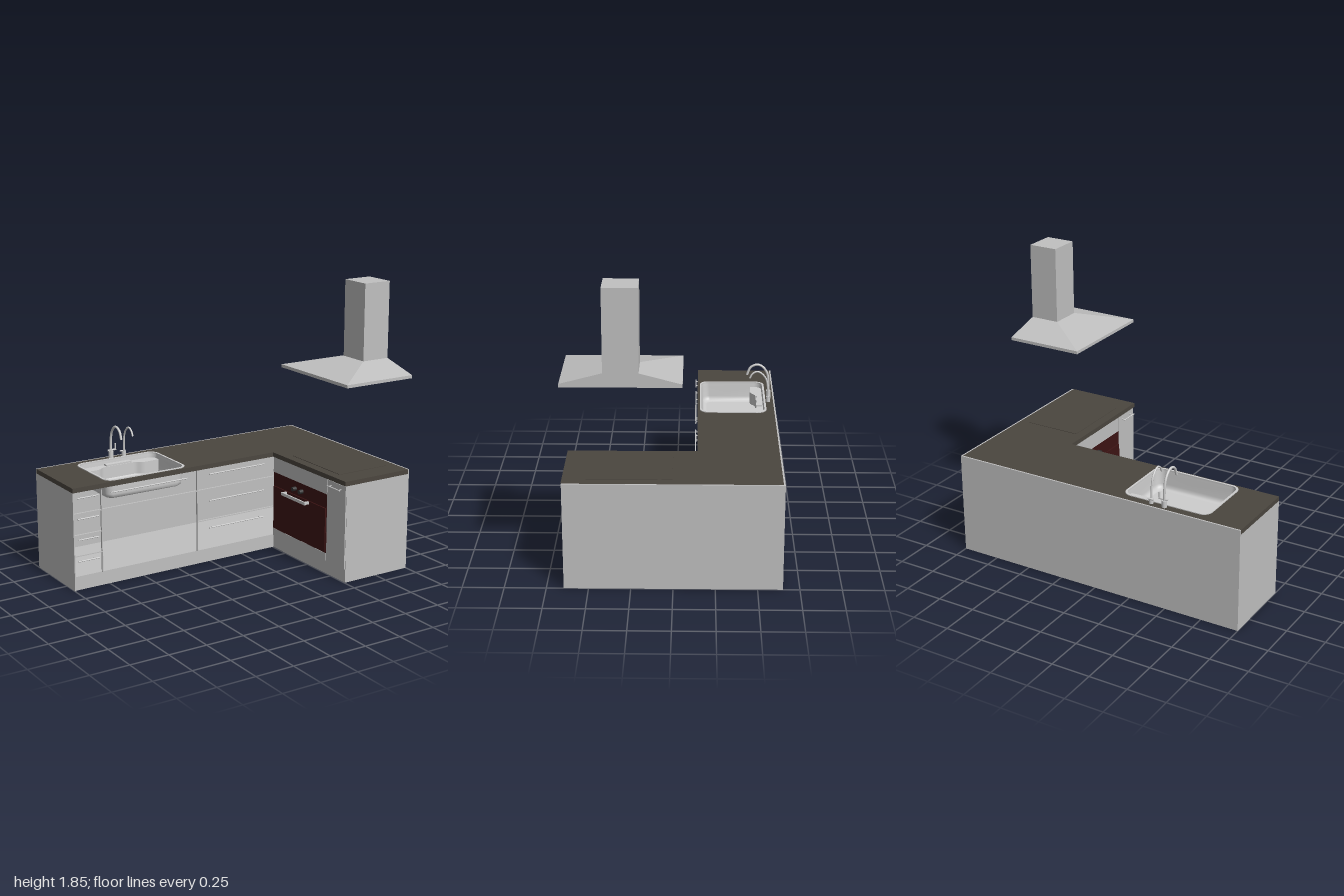
import * as THREE from 'three';
import { ConvexGeometry } from 'three/addons/geometries/ConvexGeometry.js';

const mat = (name, color, side = THREE.FrontSide) => {
  const m = new THREE.MeshStandardMaterial({ color, side });
  m.name = name;
  return m;
};

export function createModel() {
  const model = new THREE.Group();
  model.name = 'kitchen';
  const grey = mat('cabinet grey', 0xc0c0c0);
  const dark = mat('dark worktop', 0x4b463f);
  const steel = mat('steel', 0xcdcdcd, THREE.DoubleSide);
  const glass = mat('oven dark red', 0x3d1414);
  const black = mat('knob black', 0x333333);

  const add = (name, geo, material, parent = model) => {
    const m = new THREE.Mesh(geo, material);
    m.name = name;
    parent.add(m);
    return m;
  };
  // box given by its limits
  const box = (name, x0, x1, y0, y1, z0, z1, material = grey, parent = model) => {
    const g = new THREE.BoxGeometry(x1 - x0, y1 - y0, z1 - z0);
    g.translate((x0 + x1) / 2, (y0 + y1) / 2, (z0 + z1) / 2);
    return add(name, g, material, parent);
  };
  const cyl = (name, r, h, x, y, z, material = steel, axis = 'y') => {
    const g = new THREE.CylinderGeometry(r, r, h, 20);
    if (axis === 'x') g.rotateZ(Math.PI / 2);
    if (axis === 'z') g.rotateX(Math.PI / 2);
    g.translate(x, y, z);
    return add(name, g, material);
  };
  // plan outlines use (x, z); slabs rise from y0 to y1
  const plan = (pts) => new THREE.Shape(pts.map(([x, z]) => new THREE.Vector2(x, -z)));
  const slab = (name, shape, y0, y1, material) => {
    const g = new THREE.ExtrudeGeometry(shape, { depth: y1 - y0, bevelEnabled: false, curveSegments: 16 });
    g.rotateX(-Math.PI / 2);
    g.translate(0, y0, 0);
    return add(name, g, material);
  };
  const lShape = (x0, x1, z0, z1, xi, zi) =>
    plan([[x0, z0], [x1, z0], [x1, z1], [xi, z1], [xi, zi], [x0, zi]]);

  // sink outline, shrunk by an inset
  const SX = -0.46, SZ = -0.372, HX = 0.295, HZ = 0.218;
  const sinkRing = (inset, r, n = 8) => {
    const pts = [];
    const hx = HX - inset, hz = HZ - inset;
    [[1, 1], [-1, 1], [-1, -1], [1, -1]].forEach(([sx, sz], q) => {
      for (let i = 0; i <= n; i++) {
        const a = (q + i / n) * Math.PI / 2;
        pts.push([SX + sx * (hx - r) + r * Math.cos(a), SZ + sz * (hz - r) + r * Math.sin(a)]);
      }
    });
    return pts;
  };

  // carcass: floor, back, outer walls and end panel
  slab('plinth', lShape(-1, 1, -0.645, 0.64, 0.505, -0.15), 0, 0.09, grey);
  box('backPanel', -1, 1, 0, 0.67, -0.65, -0.64);
  box('sidePanel', 0.99, 1, 0, 0.67, -0.64, 0.647);
  box('endPanel', 0.505, 0.99, 0, 0.64, 0.637, 0.647);
  box('outerEndPanel', -1, -0.993, 0, 0.64, -0.64, -0.14);

  // worktop with sink cut-out
  const top = lShape(-1, 0.99, -0.64, 0.65, 0.49, -0.14);
  const cut = () => new THREE.Path(sinkRing(0.008, 0.052).map(([x, z]) => new THREE.Vector2(x, -z)));
  top.holes.push(cut());
  slab('worktop', top, 0.64, 0.67, dark);
  box('cooktop', 0.55, 0.925, 0.669, 0.673, 0.005, 0.51, dark);

  // thin frames of the open drawer run
  [-0.8, -0.1].forEach((x) => box('frameUpright', x - 0.003, x + 0.003, 0.09, 0.64, -0.155, -0.142));
  [[-0.993, -0.8, [0.5, 0.36, 0.225]], [-0.8, -0.1, [0.5]], [-0.1, 0.5, [0.5, 0.29]]].forEach(([a, b, ys]) =>
    ys.forEach((y) => box('frameRail', a, b, y - 0.003, y + 0.003, -0.155, -0.142)));

  // drawer handles: a bar on two posts
  const handle = (a, b, y) => {
    cyl('handleBar', 0.004, b - a, (a + b) / 2, y, -0.128, steel, 'x');
    [a + 0.03, b - 0.03].forEach((x) => cyl('handlePost', 0.003, 0.02, x, y, -0.139, steel, 'z'));
  };
  [0.605, 0.47, 0.335, 0.195].forEach((y) => handle(-0.975, -0.83, y));
  handle(-0.74, -0.185, 0.605);
  [0.605, 0.425, 0.24].forEach((y) => handle(-0.02, 0.41, y));

  // wing front facing -x: panels, door and oven
  box('ovenTopPanel', 0.496, 0.506, 0.535, 0.64, -0.14, 0.45);
  box('ovenBottomPanel', 0.496, 0.506, 0.09, 0.14, -0.14, 0.45);
  box('wingDoor', 0.496, 0.506, 0.09, 0.635, 0.455, 0.645);
  box('ovenFront', 0.498, 0.506, 0.14, 0.535, -0.14, 0.45, glass);
  box('ovenDoor', 0.489, 0.498, 0.145, 0.44, -0.13, 0.445, glass);
  box('ovenHandle', 0.45, 0.46, 0.42, 0.44, 0.01, 0.275, steel);
  [0.02, 0.265].forEach((z) => box('ovenHandlePost', 0.455, 0.498, 0.422, 0.438, z - 0.008, z + 0.008, steel));
  [0.11, 0.185].forEach((z) => cyl('ovenKnob', 0.014, 0.03, 0.484, 0.483, z, black, 'x'));
  cyl('doorHandleBar', 0.004, 0.13, 0.472, 0.605, 0.55, steel, 'z');
  [0.5, 0.6].forEach((z) => cyl('doorHandlePost', 0.003, 0.025, 0.485, 0.605, z, steel, 'x'));

  // sink: rim, lofted bowl, floor, back ledge and drain
  const rim = plan(sinkRing(0, 0.06));
  rim.holes.push(new THREE.Path(sinkRing(0.013, 0.05).map(([x, z]) => new THREE.Vector2(x, -z))));
  slab('sinkRim', rim, 0.665, 0.675, steel);
  const rings = [[0.67, 0.012, 0.05], [0.645, 0.014, 0.05], [0.575, 0.017, 0.05], [0.555, 0.022, 0.048], [0.546, 0.032, 0.045], [0.542, 0.046, 0.04]];
  const pos = [], idx = [];
  rings.forEach(([y, inset, r], k) => {
    const ring = sinkRing(inset, r), n = ring.length;
    ring.forEach(([x, z], i) => {
      pos.push(x, y, z);
      if (k === 0) return;
      const j = (i + 1) % n, a = (k - 1) * n, b = k * n;
      idx.push(a + i, b + i, a + j, a + j, b + i, b + j);
    });
  });
  const bowl = new THREE.BufferGeometry();
  bowl.setAttribute('position', new THREE.Float32BufferAttribute(pos, 3));
  bowl.setIndex(idx);
  bowl.computeVertexNormals();
  add('sinkBowl', bowl, steel);
  const DX = -0.46, DZ = -0.425;
  const floor = plan(sinkRing(0.046, 0.04));
  floor.holes.push(new THREE.Path().absarc(DX, -DZ, 0.06, 0, Math.PI * 2, true));
  const floorGeo = new THREE.ShapeGeometry(floor, 24);
  floorGeo.rotateX(-Math.PI / 2);
  floorGeo.translate(0, 0.542, 0);
  add('sinkFloor', floorGeo, steel);
  const drain = new THREE.LatheGeometry(
    [[0, 0.48], [0.045, 0.48], [0.054, 0.487], [0.056, 0.53], [0.062, 0.543]].map(([r, y]) => new THREE.Vector2(r, y)), 32);
  drain.translate(DX, 0, DZ);
  add('drain', drain, steel);
  cyl('drainCover', 0.05, 0.006, DX, 0.532, DZ);
  const ledge = new THREE.Shape();
  ledge.moveTo(-0.72, 0.573);
  ledge.lineTo(-0.738, 0.55);
  ledge.lineTo(-0.738, 0.5);
  ledge.lineTo(-0.65, 0.495);
  ledge.bezierCurveTo(-0.6, 0.495, -0.6, 0.53, -0.56, 0.53);
  ledge.lineTo(-0.36, 0.53);
  ledge.bezierCurveTo(-0.32, 0.53, -0.32, 0.495, -0.27, 0.495);
  ledge.lineTo(-0.182, 0.5);
  ledge.lineTo(-0.182, 0.55);
  ledge.lineTo(-0.2, 0.573);
  slab('sinkLedge', ledge, 0.56, 0.64, steel);
  box('sinkRack', -0.55, -0.365, 0.638, 0.65, -0.57, -0.535, steel);

  // two curved taps
  const tap = (x, r, pts) => {
    const path = new THREE.CatmullRomCurve3(pts.map(([y, z]) => new THREE.Vector3(x, y, z)));
    add('tapSpout', new THREE.TubeGeometry(path, 40, r, 12), steel);
  };
  tap(-0.475, 0.008, [[0.69, -0.612], [0.77, -0.612], [0.84, -0.6], [0.885, -0.565], [0.895, -0.53], [0.875, -0.49], [0.825, -0.468]]);
  tap(-0.382, 0.006, [[0.69, -0.605], [0.77, -0.603], [0.83, -0.59], [0.87, -0.555], [0.878, -0.53], [0.862, -0.5], [0.832, -0.483]]);
  cyl('mainTapBase', 0.016, 0.045, -0.475, 0.692, -0.612);
  cyl('mainTapLever', 0.006, 0.06, -0.468, 0.722, -0.612, steel, 'x');
  cyl('mainTapLeverEnd', 0.006, 0.045, -0.442, 0.74, -0.612);
  cyl('smallTapBase', 0.014, 0.035, -0.382, 0.687, -0.607);
  cyl('smallTapLever', 0.005, 0.04, -0.385, 0.702, -0.618, steel, 'x');

  // cooker hood
  const hood = new THREE.Group();
  hood.name = 'cookerHood';
  model.add(hood);
  box('hoodRim', 0.49, 1, 1.265, 1.285, -0.055, 0.645, grey, hood);
  const corners = (x0, x1, y, z0, z1) =>
    [[x0, z0], [x1, z0], [x1, z1], [x0, z1]].map(([x, z]) => new THREE.Vector3(x, y, z));
  add('hoodCanopy', new ConvexGeometry([
    ...corners(0.49, 1, 1.285, -0.055, 0.645), ...corners(0.805, 1, 1.35, 0.192, 0.397)]), grey, hood);
  box('hoodChimney', 0.805, 1, 1.35, 1.847, 0.192, 0.397, grey, hood);
  [[-0.035, 0.292], [0.298, 0.625]].forEach(([a, b]) => box('hoodFilter', 0.52, 0.97, 1.262, 1.266, a, b, grey, hood));
  [0.255, 0.295, 0.335].forEach((z) => box('hoodButton', 0.67, 0.71, 1.258, 1.263, z - 0.012, z + 0.012, grey, hood));
  return model;
}
